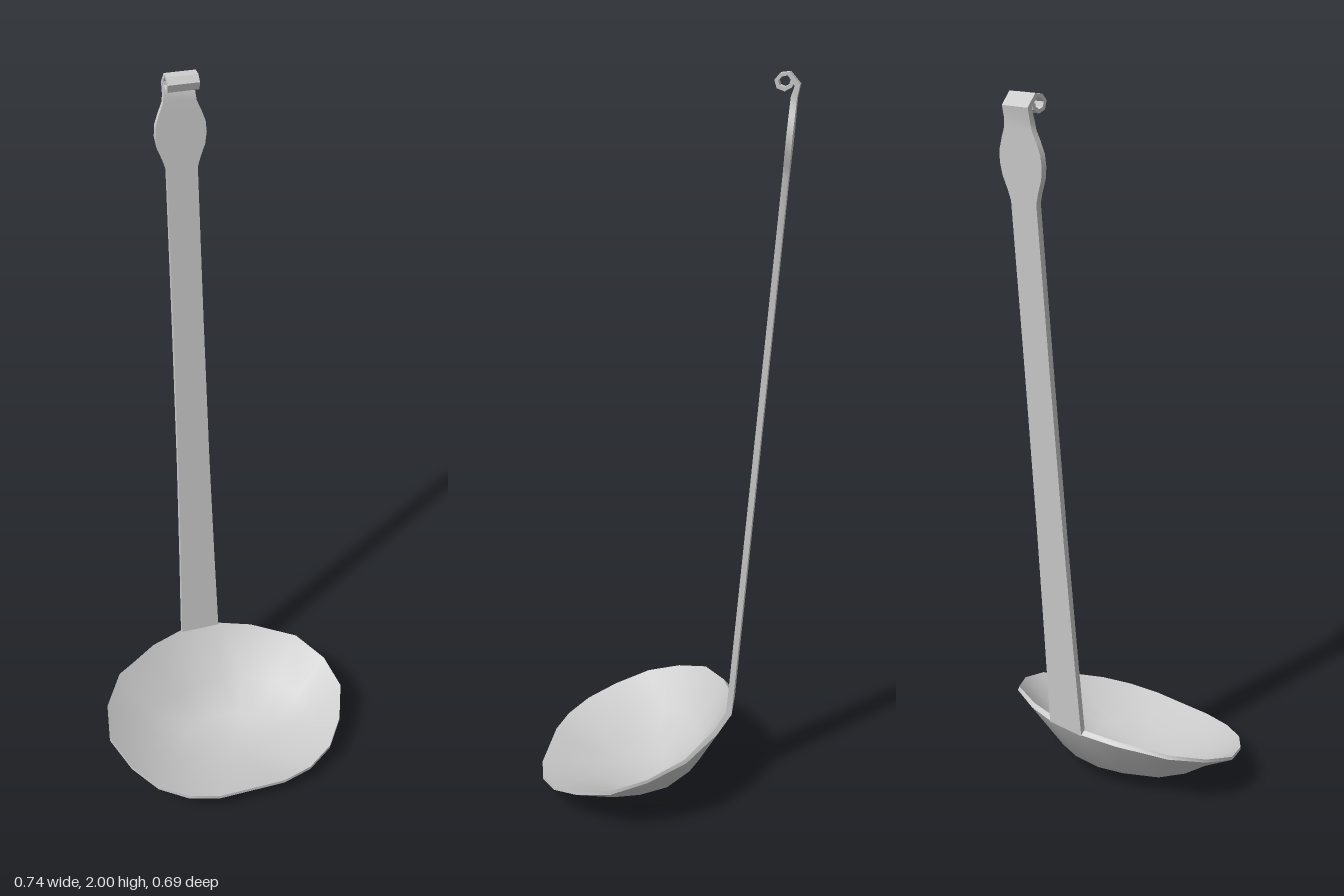
import * as THREE from 'three';
import { mergeVertices, toCreasedNormals } from 'three/addons/utils/BufferGeometryUtils.js';

// Skin a list of closed cross-sections; caps close the first and last one (four corners each)
function skin(sections, capped = false) {
  const n = sections[0].length;
  const index = [];
  for (let i = 0; i < sections.length - 1; i++) {
    for (let j = 0; j < n; j++) {
      const k = (j + 1) % n;
      const a = i * n + j, b = a + n, c = (i + 1) * n + k, d = i * n + k;
      index.push(a, b, c, a, c, d);
    }
  }
  if (capped) {
    const e = (sections.length - 1) * n;
    index.push(0, 1, 2, 0, 2, 3, e, e + 2, e + 1, e, e + 3, e + 2);
  }
  const geometry = new THREE.BufferGeometry();
  geometry.setAttribute('position', new THREE.Float32BufferAttribute(sections.flat(2), 3));
  geometry.setIndex(index);
  const merged = mergeVertices(geometry, 1e-5);
  merged.computeVertexNormals();
  return merged;
}

// Flat strip along a path of [z, y, half width, thickness]
function strip(path) {
  const sections = path.map(([z, y, w, t], i) => {
    const p = path[Math.max(i - 1, 0)], q = path[Math.min(i + 1, path.length - 1)];
    const len = Math.hypot(q[0] - p[0], q[1] - p[1]);
    const nz = (q[1] - p[1]) / len * t / 2, ny = -(q[0] - p[0]) / len * t / 2;
    return [[w, y + ny, z + nz], [-w, y + ny, z + nz], [-w, y - ny, z - nz], [w, y - ny, z - nz]];
  });
  return toCreasedNormals(skin(sections, true), 0.6);
}

export function createModel() {
  const group = new THREE.Group();
  const material = new THREE.MeshStandardMaterial({ color: 0xcccccc, side: THREE.DoubleSide });
  const add = (name, geometry) => {
    const mesh = new THREE.Mesh(geometry, material);
    mesh.name = name;
    group.add(mesh);
  };

  // Bowl outline, back to front on the left, then mirrored
  const half = [[0.06, -0.2], [0.16, -0.17], [0.29, -0.097], [0.352, 0], [0.371, 0.1],
    [0.33, 0.2], [0.27, 0.277], [0.19, 0.325], [0.1, 0.346]];
  const outline = [...half, ...half.map(([x, z]) => [-x, z]).reverse()];

  // Bowl rings: tilted rim, steep at the back and shallow at the front
  const centreZ = 0.13;
  const ring = (s, inner) => outline.map(([x, z]) => {
    const rimY = 0.045 + (0.346 - z) * 0.325;
    const power = 1.4 + (0.346 - z) * 4.4;
    const y = rimY * Math.pow(s, power) + (inner ? 0.01 : 0);
    const inset = inner ? 0.013 * Math.max(0, -z / 0.2) * s : 0;
    return [x * s, y, centreZ + (z - centreZ) * s + inset];
  });
  const steps = [0, 0.4, 0.72, 1];
  add('bowlOutside', skin(steps.map((s) => ring(s, false))));
  add('bowlInside', skin(steps.map((s) => ring(s, true)).reverse()));
  add('bowlRim', skin([ring(1, false), ring(1, true)]));

  // Handle, leaning back, with a rounded swelling near the top
  const widths = [[0.22, 0.06], [0.5, 0.054], [0.85, 0.048], [1.3, 0.044], [1.74, 0.042],
    [1.765, 0.05], [1.8, 0.064], [1.83, 0.069], [1.86, 0.067], [1.89, 0.056],
    [1.915, 0.045], [1.935, 0.042]];
  const handle = widths.map(([y, w]) => [-0.192 - (y - 0.22) * 0.081, y, w, 0.016]);

  // Hanging curl, rolled forward at the end of the handle
  const curl = [[-0.339, 1.965], [-0.317, 1.993], [-0.297, 1.99], [-0.286, 1.977],
    [-0.291, 1.961], [-0.307, 1.955], [-0.322, 1.963], [-0.325, 1.974]];
  add('handle', strip([...handle, ...curl.map(([z, y], i) => [z, y, 0.042, i ? 0.01 : 0.014])]));

  return group;
}
